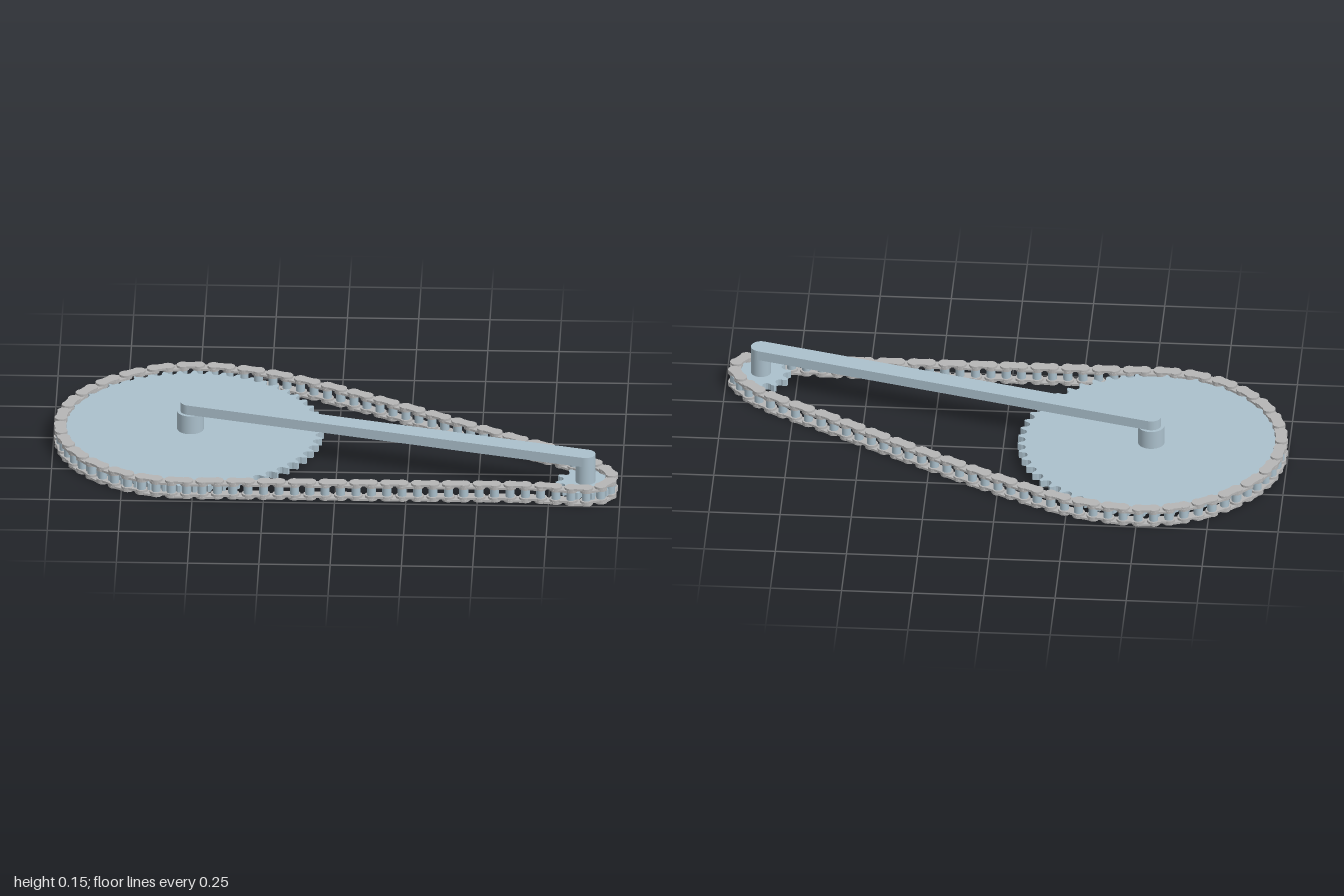
import * as THREE from 'three';
import { mergeGeometries } from 'three/addons/utils/BufferGeometryUtils.js';

const BIG = { x: -0.52, z: 0.004, r: 0.457, teeth: 55 };
const SMALL = { x: 0.877, z: 0.385, r: 0.094, teeth: 11 };
const LINKS = 88;
const ROLLER = 0.016;

// Extrudes a plan-view shape (shape y becomes z) between two heights
function slab(shape, y0, y1, curveSegments = 8) {
  const g = new THREE.ExtrudeGeometry(shape, { depth: y1 - y0, bevelEnabled: false, curveSegments });
  return g.rotateX(Math.PI / 2).translate(0, y1, 0);
}

// Two round ends joined by straight sides; a spread below 90 degrees narrows the waist
function linkShape(length, r, spread) {
  const s = new THREE.Shape();
  s.absarc(0, 0, r, Math.PI - (Math.PI - spread), Math.PI * 2 - spread, false);
  s.absarc(length, 0, r, spread - Math.PI, Math.PI - spread, false);
  s.closePath();
  return s;
}

// Toothed wheel with round roller seats
function sprocketShape({ r, teeth, }, phase) {
  const pts = [];
  const step = (Math.PI * 2) / teeth;
  for (let i = 0; i < teeth; i++) {
    const a = phase + i * step;
    for (let k = -3; k <= 3; k++) {
      const b = a + Math.PI - k * 0.5;
      pts.push(new THREE.Vector2(r * Math.cos(a) + ROLLER * Math.cos(b), r * Math.sin(a) + ROLLER * Math.sin(b)));
    }
    for (const f of [0.42, 0.58]) {
      const b = a + f * step;
      pts.push(new THREE.Vector2((r + 0.011) * Math.cos(b), (r + 0.011) * Math.sin(b)));
    }
  }
  // keep the seats in angular order around the wheel
  pts.sort((p, q) => ((p.angle() - phase + 7) % (Math.PI * 2)) - ((q.angle() - phase + 7) % (Math.PI * 2)));
  return new THREE.Shape(pts);
}

// Closed path of the chain pins, starting under the large wheel
function chainPath() {
  const pts = [];
  const add = (x, z) => pts.push(new THREE.Vector3(x, 0, z));
  for (let d = 90; d <= 270; d += 15) {
    const a = THREE.MathUtils.degToRad(d);
    const r = BIG.r + Math.max(0, d - 225) * 0.0005;
    add(BIG.x + r * Math.cos(a), BIG.z + r * Math.sin(a));
  }
  [[-0.33, -0.447], [-0.2, -0.4], [0, -0.297], [0.3, -0.12], [0.6, 0.065], [0.87, 0.232]].forEach(p => add(...p));
  for (let d = -40; d <= 90; d += 26) {
    const a = THREE.MathUtils.degToRad(d);
    add(SMALL.x + SMALL.r * Math.cos(a), SMALL.z + SMALL.r * Math.sin(a));
  }
  [[0.8, 0.472], [0.7, 0.459], [0.3, 0.459], [-0.1, 0.459], [-0.4, 0.459]].forEach(p => add(...p));
  const curve = new THREE.CatmullRomCurve3(pts, true, 'centripetal');
  curve.arcLengthDivisions = 1000;
  return curve.getSpacedPoints(LINKS).slice(0, LINKS);
}

export function createModel() {
  const model = new THREE.Group();
  model.name = 'chainDrive';
  const steel = new THREE.MeshStandardMaterial({ color: 0xabc0cc });
  steel.name = 'blueSteel';
  const grey = new THREE.MeshStandardMaterial({ color: 0xb5b5b5 });
  grey.name = 'greyMetal';

  const add = (name, geometry, material, x = 0, z = 0) => {
    const m = new THREE.Mesh(geometry, material);
    m.name = name;
    m.position.set(x, 0, z);
    model.add(m);
    return m;
  };
  const post = (r, y0, y1, sides = 32) =>
    new THREE.CylinderGeometry(r, r, y1 - y0, sides).translate(0, (y0 + y1) / 2, 0);

  // Wheels and their hubs
  const pins = chainPath();
  add('largeSprocket', slab(sprocketShape(BIG, Math.PI / 2), 0.02, 0.045), steel, BIG.x, BIG.z);
  add('smallSprocket', slab(sprocketShape(SMALL, Math.PI / 2), 0.02, 0.045), steel, SMALL.x, SMALL.z);
  add('largeHub', post(0.047, 0.04, 0.114), steel, BIG.x, BIG.z);
  add('smallHub', post(0.035, 0.04, 0.12), steel, SMALL.x, SMALL.z);

  // Arm joining the two hubs
  const dx = SMALL.x - BIG.x, dz = SMALL.z - BIG.z;
  const arm = add('connectingArm', slab(linkShape(Math.hypot(dx, dz), 0.035, Math.PI / 2), 0.114, 0.15, 20), steel, BIG.x, BIG.z);
  arm.rotation.y = -Math.atan2(dz, dx);

  // Chain: rollers on pins, with outer and inner plates alternating
  const rollers = [], axles = [], outer = [], inner = [];
  pins.forEach((p, i) => {
    const q = pins[(i + 1) % LINKS];
    const isOuter = i % 2 === 0;
    const shape = linkShape(p.distanceTo(q), 0.0225, THREE.MathUtils.degToRad(58));
    const levels = isOuter ? [[0, 0.008], [0.057, 0.065]] : [[0.0085, 0.0165], [0.0485, 0.0565]];
    for (const [y0, y1] of levels) {
      const g = slab(shape, y0, y1).rotateY(-Math.atan2(q.z - p.z, q.x - p.x)).translate(p.x, 0, p.z);
      (isOuter ? outer : inner).push(g);
    }
    rollers.push(post(ROLLER, 0.0165, 0.0485, 16).translate(p.x, 0, p.z));
    axles.push(post(0.008, 0.0005, 0.0645, 10).translate(p.x, 0, p.z));
  });
  add('chainRollers', mergeGeometries(rollers), steel);
  add('chainPins', mergeGeometries(axles), grey);
  add('outerChainPlates', mergeGeometries(outer), grey);
  add('innerChainPlates', mergeGeometries(inner), grey);
  return model;
}
